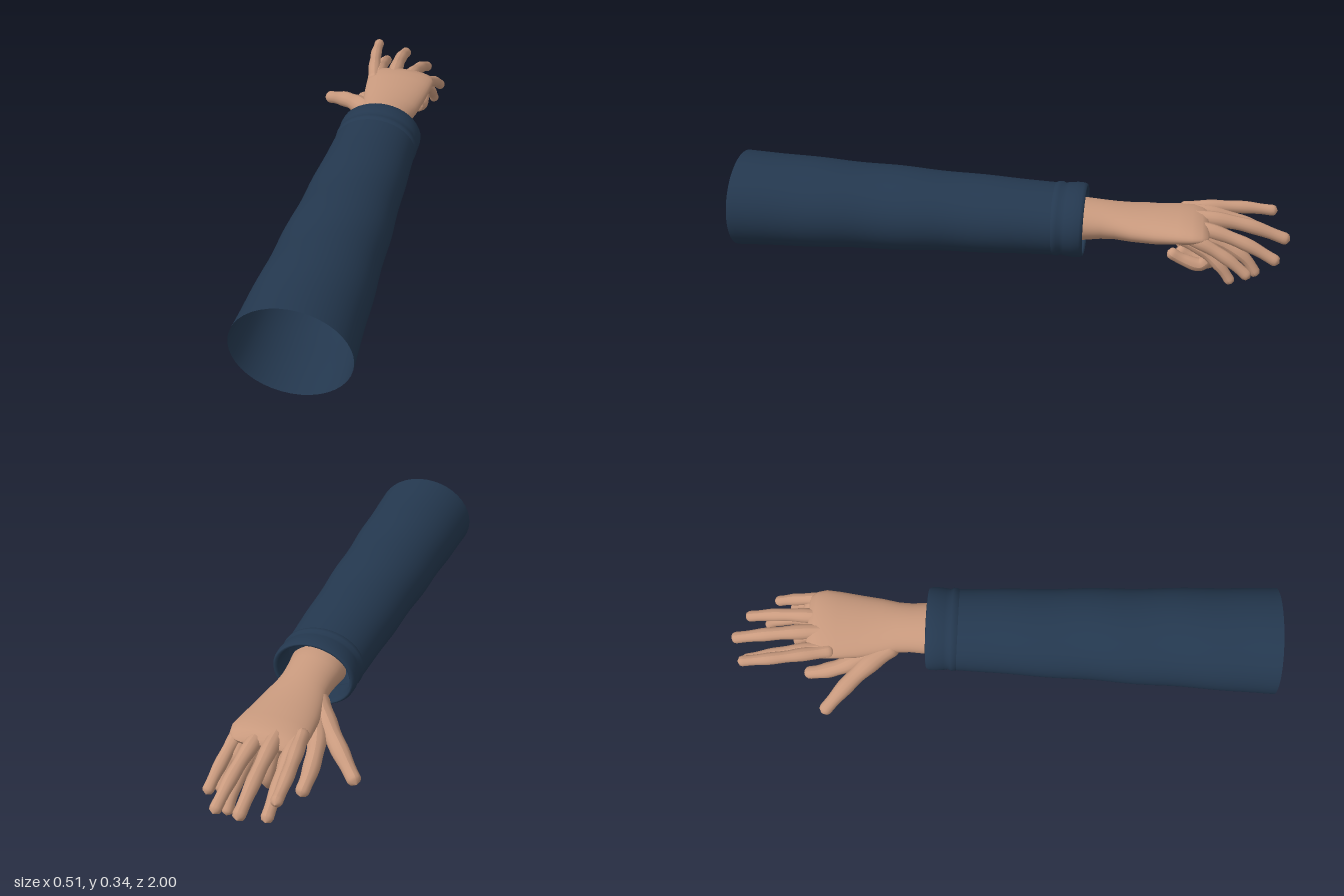
import * as THREE from 'three';

const SIDES = 40;

// Skin over elliptical rings [z, cx, cy, rx, ry], running from front to back
function loft(rings, ripple = () => 0) {
  const pos = [], index = [];
  rings.forEach(([z, cx, cy, rx, ry], i) => {
    for (let j = 0; j < SIDES; j++) {
      const a = (j / SIDES) * Math.PI * 2;
      const r = 1 + ripple(z, a);
      pos.push(cx + Math.cos(a) * rx * r, cy + Math.sin(a) * ry * r, z);
      if (i === rings.length - 1) continue;
      const k = (j + 1) % SIDES, p = i * SIDES, q = p + SIDES;
      index.push(p + j, q + j, q + k, p + j, q + k, p + k);
    }
  });
  const g = new THREE.BufferGeometry();
  g.setAttribute('position', new THREE.Float32BufferAttribute(pos, 3));
  g.setIndex(index);
  g.computeVertexNormals();
  return g;
}

// Tapered tube with rounded ends, slightly swollen at the joints
function fingerGeometry(points, r0, r1) {
  const curve = new THREE.CatmullRomCurve3(points.map((p) => new THREE.Vector3(...p)));
  const length = curve.getLength(), steps = 40, radial = 14;
  const g = new THREE.TubeGeometry(curve, steps, 1, radial);
  const pos = g.attributes.position, v = new THREE.Vector3();
  for (let i = 0; i <= steps; i++) {
    const t = i / steps, c = curve.getPointAt(t);
    let r = THREE.MathUtils.lerp(r0, r1, t) * (1 + 0.05 * Math.cos(t * Math.PI * 6));
    const end = Math.min(t, 1 - t) * length;
    if (end < r) r *= Math.sqrt(Math.max(0.002, 1 - (1 - end / r) ** 2));
    for (let j = 0; j <= radial; j++) {
      const n = i * (radial + 1) + j;
      v.fromBufferAttribute(pos, n).sub(c).multiplyScalar(r).add(c);
      pos.setXYZ(n, v.x, v.y, v.z);
    }
  }
  g.computeVertexNormals();
  return g;
}

export function createModel() {
  const model = new THREE.Group();
  const cloth = new THREE.MeshStandardMaterial({ color: 0x24384f, side: THREE.DoubleSide });
  cloth.name = 'navy cloth';
  const skin = new THREE.MeshStandardMaterial({ color: 0xc99a7e });
  skin.name = 'skin';
  const add = (name, geometry, material, parent = model) => {
    const mesh = new THREE.Mesh(geometry, material);
    mesh.name = name;
    parent.add(mesh);
    return mesh;
  };

  // Sleeve: open tapering tube with soft folds
  const sleeveRings = [];
  for (let i = 0; i <= 48; i++) {
    const t = i / 48;
    sleeveRings.push([1 - t * 1.17, 0.057, 0.172,
      THREE.MathUtils.lerp(0.198, 0.152, t), THREE.MathUtils.lerp(0.169, 0.123, t)]);
  }
  const folds = (z, a) => 0.012 * Math.sin(z * 19 + 1.6 * Math.sin(a + 1)) *
    Math.sin(Math.PI * THREE.MathUtils.clamp((1 - z) / 1.17, 0, 1));
  add('sleeve', loft(sleeveRings, folds), cloth);

  // Cuff: rolled band with a rounded lip and an inner wall
  const cuff = [
    [-0.15, 0.146, 0.118], [-0.165, 0.155, 0.127], [-0.18, 0.156, 0.128], [-0.192, 0.15, 0.122],
    [-0.205, 0.153, 0.126], [-0.235, 0.156, 0.129], [-0.26, 0.155, 0.128], [-0.27, 0.15, 0.123],
    [-0.272, 0.143, 0.118], [-0.265, 0.136, 0.115], [-0.24, 0.134, 0.114], [-0.17, 0.134, 0.114],
    [-0.155, 0.142, 0.117], [-0.15, 0.146, 0.118],
  ];
  add('cuff', loft(cuff.map(([z, rx, ry]) => [z, 0.057, 0.174, rx, ry])), cloth);

  const hand = new THREE.Group();
  hand.name = 'hand';
  model.add(hand);

  // Wrist and palm in one skin, closed at both ends
  add('wristAndPalm', loft([
    [-0.165, 0.057, 0.176, 0.002, 0.002], [-0.17, 0.057, 0.176, 0.05, 0.04],
    [-0.185, 0.057, 0.176, 0.09, 0.068], [-0.215, 0.057, 0.176, 0.104, 0.078],
    [-0.27, 0.055, 0.179, 0.097, 0.07], [-0.33, 0.054, 0.181, 0.093, 0.063],
    [-0.38, 0.054, 0.181, 0.096, 0.058], [-0.44, 0.054, 0.178, 0.109, 0.055],
    [-0.52, 0.053, 0.178, 0.121, 0.052], [-0.6, 0.054, 0.184, 0.13, 0.046],
    [-0.65, 0.054, 0.187, 0.134, 0.04], [-0.685, 0.052, 0.186, 0.128, 0.032],
    [-0.705, 0.05, 0.184, 0.115, 0.02], [-0.712, 0.05, 0.183, 0.09, 0.003],
  ]), skin, hand);

  // Extended digits, dropping further towards the little finger
  const digits = [
    ['outerIndexFinger', [[-0.045, 0.19, -0.6], [-0.066, 0.195, -0.7], [-0.088, 0.192, -0.83], [-0.1, 0.18, -0.955]], 0.027, 0.019],
    ['indexFinger', [[-0.035, 0.19, -0.6], [-0.045, 0.185, -0.7], [-0.056, 0.15, -0.83], [-0.065, 0.098, -0.955]], 0.028, 0.02],
    ['middleFinger', [[0.026, 0.195, -0.6], [0.021, 0.195, -0.7], [0.013, 0.172, -0.85], [0.01, 0.122, -1]], 0.03, 0.021],
    ['ringFinger', [[0.075, 0.19, -0.6], [0.086, 0.184, -0.7], [0.1, 0.145, -0.84], [0.112, 0.085, -0.962]], 0.029, 0.02],
    ['littleFinger', [[0.135, 0.19, -0.58], [0.155, 0.178, -0.66], [0.174, 0.12, -0.78], [0.188, 0.06, -0.86]], 0.027, 0.019],
    ['droopingFinger', [[0.08, 0.18, -0.62], [0.088, 0.15, -0.73], [0.098, 0.09, -0.84], [0.104, 0.022, -0.89]], 0.026, 0.019],
    ['droopingLittleFinger', [[0.14, 0.18, -0.6], [0.155, 0.14, -0.69], [0.167, 0.08, -0.76], [0.173, 0.024, -0.8]], 0.025, 0.018],
    ['thumb', [[0.0, 0.175, -0.38], [-0.07, 0.152, -0.47], [-0.15, 0.12, -0.555], [-0.25, 0.064, -0.65]], 0.042, 0.023],
    ['foldedThumb', [[-0.03, 0.165, -0.46], [-0.075, 0.125, -0.56], [-0.088, 0.075, -0.65], [-0.084, 0.028, -0.73]], 0.038, 0.023],
  ];
  digits.forEach(([name, points, r0, r1]) => add(name, fingerGeometry(points, r0, r1), skin, hand));

  // Curled fingers, with tips turned back below the palm
  [[0.02, 0.078, 0.72], [0.085, 0.08, 0.72], [0.142, 0.1, 0.69]].forEach(([x, y, z], i) => {
    add('curledFinger' + (i + 1), fingerGeometry([
      [x, 0.175, -z + 0.07], [x, 0.15, -z], [x, y + 0.02, -z - 0.03],
      [x, y - 0.025, -z], [x, y - 0.012, -z + 0.06], [x, y + 0.02, -z + 0.12],
    ], 0.027, 0.021), skin, hand);
  });

  return model;
}
